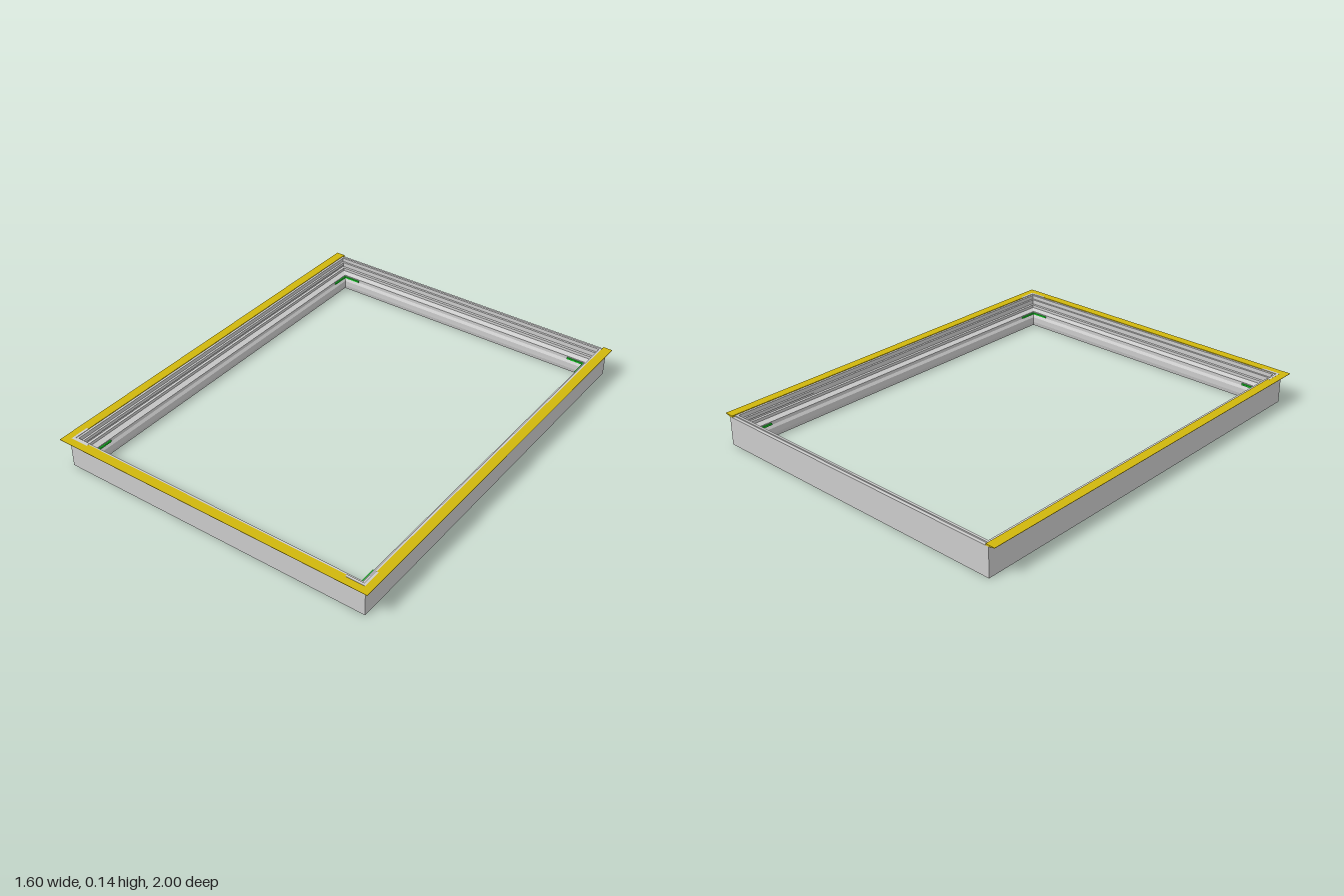
import * as THREE from 'three';

const HALF_W = 0.77, BACK = -1, FRONT = 0.97;

// Sweeps a closed profile of [inset, height] points along mitred corners.
// cornersAt(inset) returns the plan corners [x, z] for that inset.
function sweep(profile, cornersAt, closed) {
  const pos = [];
  const at = (i, j) => {
    const [d, y] = profile[j % profile.length];
    const corners = cornersAt(d);
    const [x, z] = corners[i % corners.length];
    return [x, y, z];
  };
  const count = cornersAt(0).length;
  for (let i = 0; i < (closed ? count : count - 1); i++) {
    for (let j = 0; j < profile.length; j++) {
      const a = at(i, j), b = at(i, j + 1), c = at(i + 1, j + 1), d = at(i + 1, j);
      pos.push(...a, ...b, ...c, ...a, ...c, ...d);
    }
  }
  // end caps of an open run
  if (!closed) {
    for (let j = 1; j < profile.length - 1; j++) {
      pos.push(...at(0, 0), ...at(0, j + 1), ...at(0, j));
      pos.push(...at(count - 1, 0), ...at(count - 1, j), ...at(count - 1, j + 1));
    }
  }
  const geo = new THREE.BufferGeometry();
  geo.setAttribute('position', new THREE.Float32BufferAttribute(pos, 3));
  geo.computeVertexNormals();
  return geo;
}

const material = (color) =>
  new THREE.MeshStandardMaterial({ color, flatShading: true, side: THREE.DoubleSide });

const ring = (d) => [
  [-HALF_W + d, BACK + d], [HALF_W - d, BACK + d],
  [HALF_W - d, FRONT - d], [-HALF_W + d, FRONT - d],
];
const threeSides = (d) => [
  [HALF_W - d, BACK], [HALF_W - d, FRONT - d],
  [-HALF_W + d, FRONT - d], [-HALF_W + d, BACK],
];

export function createModel() {
  const model = new THREE.Group();
  model.name = 'windowFrame';
  const grey = material(0xcccccc);
  const add = (name, geo, mat, parent = model) => {
    const mesh = new THREE.Mesh(geo, mat);
    mesh.name = name;
    parent.add(mesh);
    return mesh;
  };

  // frame body with stepped inner face and a lower lip
  add('frameBody', sweep([
    [0, 0], [0, 0.136], [0.015, 0.136], [0.015, 0.141], [0.026, 0.141],
    [0.026, 0.122], [0.036, 0.122], [0.036, 0.106], [0.031, 0.106],
    [0.031, 0.096], [0.044, 0.096], [0.044, 0.082], [0.064, 0.074],
    [0.07, 0.074], [0.07, 0.058], [0.079, 0.046], [0.079, 0.02], [0.074, 0],
    [0.046, 0], [0.046, 0.005], [0.04, 0.005], [0.04, 0],
  ], ring, true), grey);

  // tapered flange on the front and both sides
  add('flange', sweep([
    [0, 0.136], [-0.03, 0.142], [-0.03, 0.144], [0.015, 0.144], [0.015, 0.136],
  ], threeSides, false), material(0xd0b60c));

  // L-shaped corner pieces
  const corner = (name, sx, sz, inset, y, arm, width, height, mat) => {
    const group = new THREE.Group();
    group.name = name;
    const x = HALF_W - inset, z = sz > 0 ? FRONT - inset : BACK + inset;
    add(name + 'Side', new THREE.BoxGeometry(width, height, arm), mat, group)
      .position.set(sx * (x - width / 2), y, z - sz * arm / 2);
    add(name + 'Cross', new THREE.BoxGeometry(arm - width, height, width), mat, group)
      .position.set(sx * (x - width - (arm - width) / 2), y, z - sz * width / 2);
    model.add(group);
  };
  const green = material(0x18c828);
  for (const sx of [-1, 1]) {
    corner('flangeCorner', sx, 1, 0.005, 0.1435, 0.09, 0.012, 0.002, grey);
    for (const sz of [-1, 1])
      corner('cornerKey', sx, sz, 0.07, 0.065, 0.09, 0.007, 0.008, green);
  }
  return model;
}
